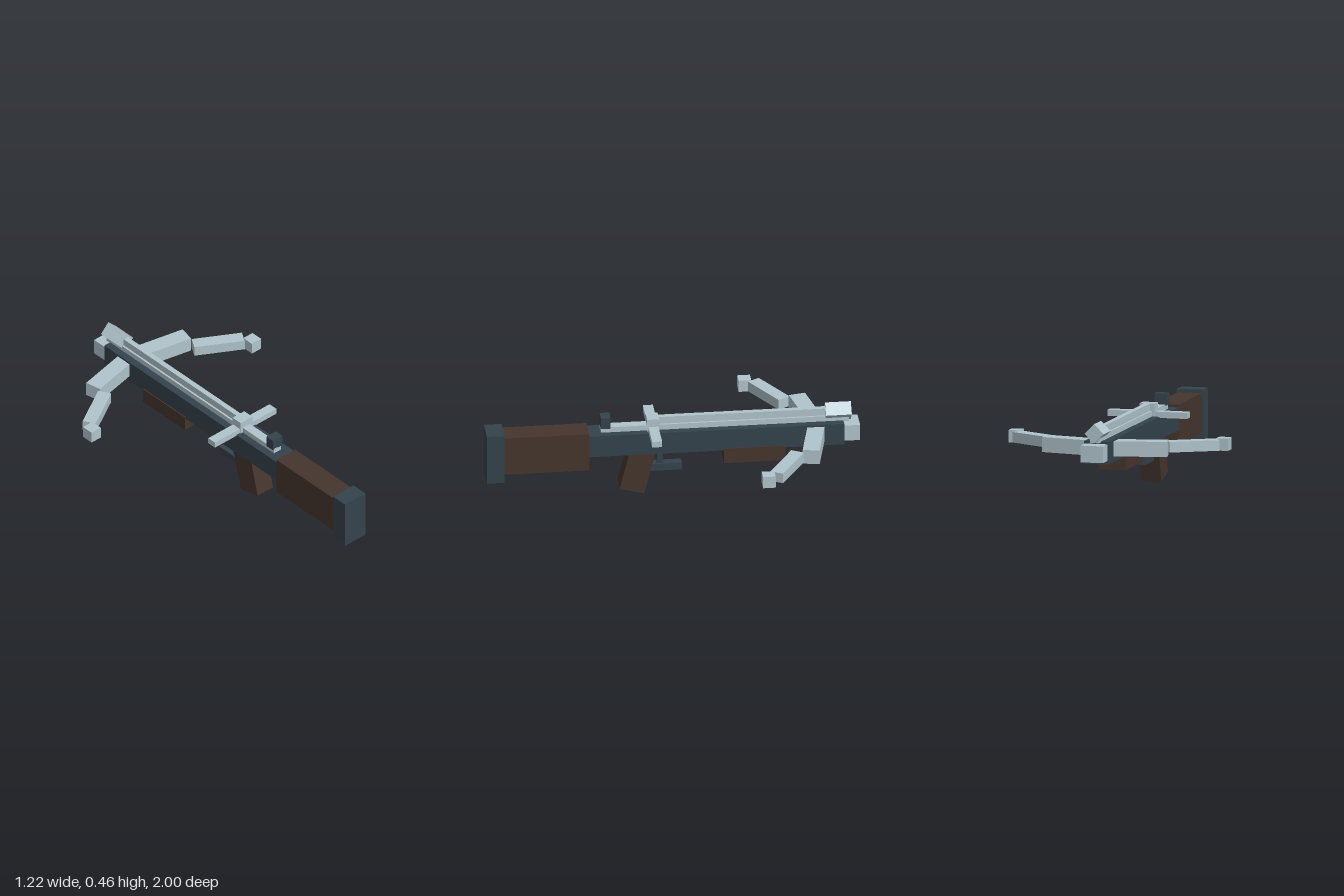
import * as THREE from 'three';

export function createModel() {
  const model = new THREE.Group();
  model.name = 'crossbow';
  const steel = new THREE.MeshStandardMaterial({ name: 'pale steel', color: 0xb0c4cc });
  const iron = new THREE.MeshStandardMaterial({ name: 'dark iron', color: 0x34434d });
  const wood = new THREE.MeshStandardMaterial({ name: 'dark wood', color: 0x45352d });

  // Box given by its size and centre
  function box(name, material, size, centre, parent = model) {
    const mesh = new THREE.Mesh(new THREE.BoxGeometry(...size), material);
    mesh.position.set(...centre);
    mesh.name = name;
    parent.add(mesh);
    return mesh;
  }

  // Box on the centre line given by its width and its y and z ranges
  function block(name, material, width, y0, y1, z0, z1) {
    return box(name, material, [width, y1 - y0, z1 - z0], [0, (y0 + y1) / 2, (z0 + z1) / 2]);
  }

  // Stock and body
  block('buttPlate', iron, 0.146, 0.115, 0.393, 0.905, 1.0);
  block('stock', wood, 0.134, 0.16, 0.375, 0.45, 0.905);
  block('body', iron, 0.134, 0.238, 0.36, -0.915, 0.45);
  block('foregrip', wood, 0.146, 0.165, 0.25, -0.6, -0.27);
  block('noseBlock', steel, 0.126, 0.257, 0.347, -1.0, -0.91);

  // Raked grip and trigger
  const grip = box('grip', wood, [0.11, 0.28, 0.136], [0, 0.153, 0.187]);
  grip.rotation.x = -0.25;
  block('triggerPost', iron, 0.03, 0.15, 0.25, 0.05, 0.083);
  block('triggerBar', iron, 0.05, 0.117, 0.157, -0.05, 0.125);

  // Rail, bolt and rear sight
  block('rail', steel, 0.052, 0.355, 0.39, -0.945, 0.385);
  block('boltShaft', steel, 0.03, 0.38, 0.43, -0.83, 0.08);
  block('rearSight', iron, 0.068, 0.385, 0.448, 0.333, 0.385);
  const boltHead = box('boltHead', steel, [0.075, 0.075, 0.138], [0, 0.406, -0.888]);
  boltHead.rotation.z = Math.PI / 4;

  // Cocking handle
  block('nut', steel, 0.084, 0.36, 0.43, 0.074, 0.138);
  block('cockingBar', steel, 0.44, 0.354, 0.387, 0.078, 0.132);

  // Bow arms, mirrored to each side
  for (const side of [1, -1]) {
    const arm = new THREE.Group();
    arm.name = side > 0 ? 'leftArm' : 'rightArm';
    const inner = box('innerLimb', steel, [0.32, 0.081, 0.091], [side * 0.18, 0.308, -0.739], arm);
    inner.rotation.y = -side * 0.205;
    const outer = box('outerLimb', steel, [0.274, 0.057, 0.073], [side * 0.435, 0.308, -0.567], arm);
    outer.rotation.y = -side * 0.53;
    box('limbTip', steel, [0.066, 0.066, 0.068], [side * 0.575, 0.307, -0.452], arm);
    model.add(arm);
  }
  return model;
}
